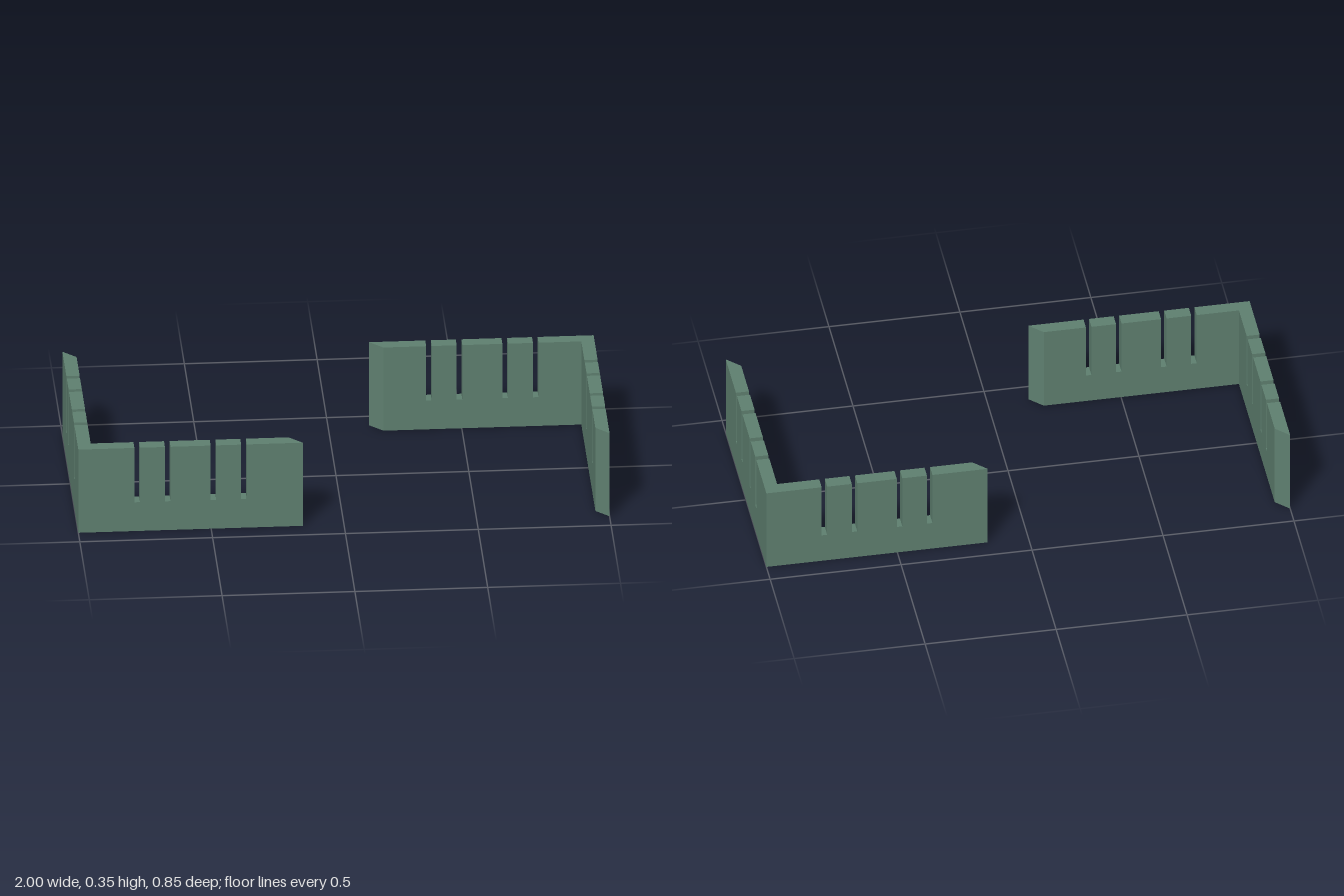
import * as THREE from 'three';

const LENGTH = 0.845, HEIGHT = 0.347, THICK = 0.05;
const SLOT_FLOOR = 0.12, SLOT_WIDTH = 0.021;
const SLOTS = [0.201, 0.086, -0.086, -0.201]; // slot centres along a panel

// Slotted wall: outer face at z = 0, ends mitred at 45 degrees towards the inside
function panelGeometry() {
  const h = LENGTH / 2, w = SLOT_WIDTH / 2;
  const s = new THREE.Shape();
  s.moveTo(-h, 0);
  s.lineTo(h, 0);
  s.lineTo(h, HEIGHT);
  for (const c of SLOTS) {
    s.lineTo(c + w, HEIGHT);
    s.lineTo(c + w, SLOT_FLOOR);
    s.lineTo(c - w, SLOT_FLOOR);
    s.lineTo(c - w, HEIGHT);
  }
  s.lineTo(-h, HEIGHT);
  s.closePath();
  const geo = new THREE.ExtrudeGeometry(s, { depth: THICK, bevelEnabled: false });
  geo.translate(0, 0, -THICK);
  const p = geo.attributes.position;
  for (let i = 0; i < p.count; i++) {
    const x = p.getX(i);
    if (p.getZ(i) < -THICK / 2 && Math.abs(x) > h - 0.001) p.setX(i, x - Math.sign(x) * THICK);
  }
  geo.computeVertexNormals();
  return geo;
}

export function createModel() {
  const green = new THREE.MeshStandardMaterial({ color: 0x5f8070 });
  green.name = 'sage green';
  const geo = panelGeometry();
  const model = new THREE.Group();
  model.name = 'slottedCornerWalls';

  // Two L-shaped corners, the second turned half way round
  ['frontRightCorner', 'backLeftCorner'].forEach((name, i) => {
    const corner = new THREE.Group();
    corner.name = name;
    const longWall = new THREE.Mesh(geo, green);
    longWall.name = 'longWall';
    longWall.position.set(-1 + LENGTH / 2, 0, LENGTH / 2);
    const sideWall = new THREE.Mesh(geo, green);
    sideWall.name = 'sideWall';
    sideWall.position.set(-1, 0, 0);
    sideWall.rotation.y = -Math.PI / 2;
    corner.add(longWall, sideWall);
    corner.rotation.y = i * Math.PI;
    model.add(corner);
  });
  return model;
}
